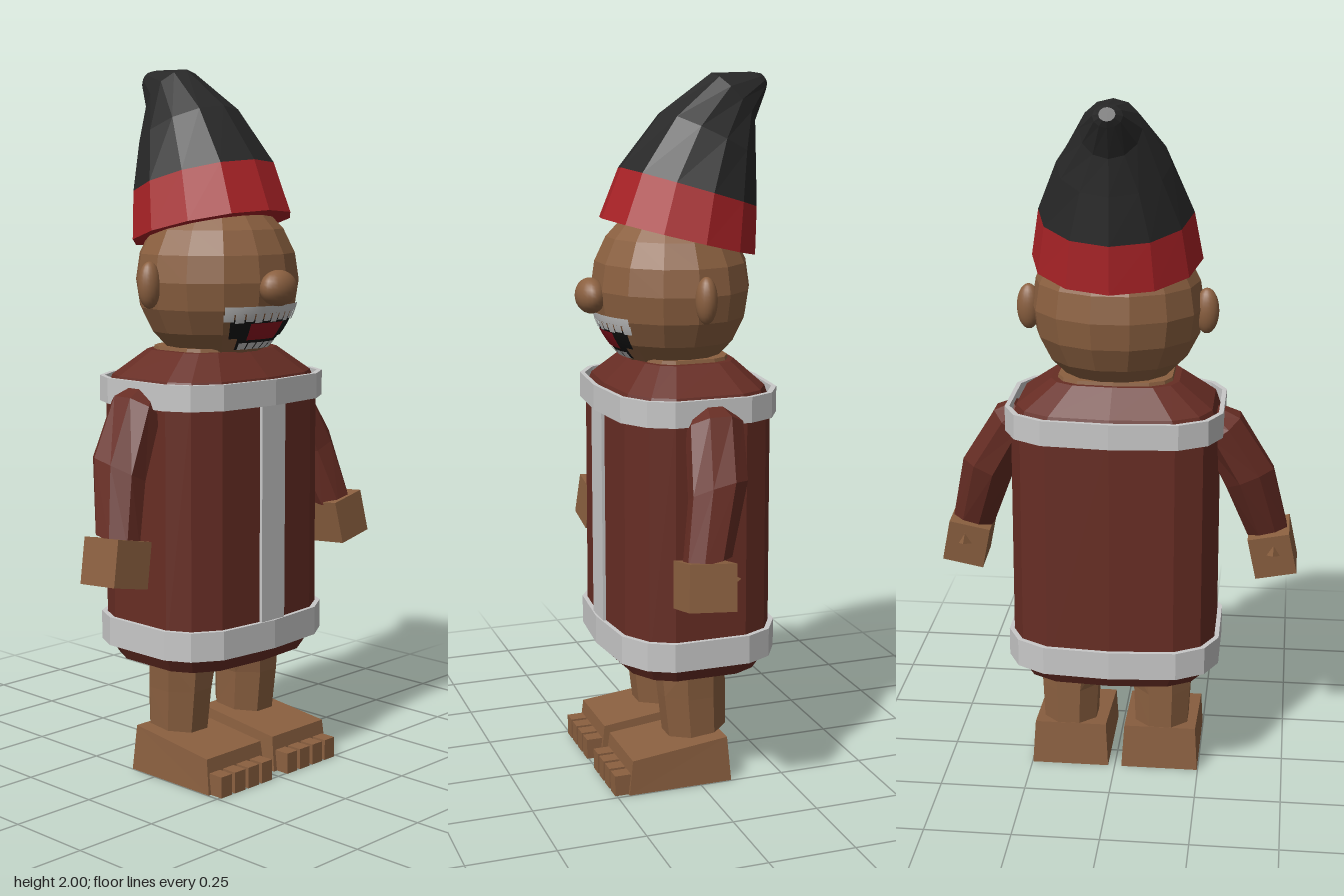
import * as THREE from 'three';

const mat = (name, color, side = THREE.FrontSide) => {
  const m = new THREE.MeshStandardMaterial({ color, side });
  m.name = name;
  return m;
};

export function createModel() {
  const skin = mat('skin', 0x8b6040);
  const robe = mat('robe brown', 0x672d24);
  const red = mat('band red', 0xa82226);
  const black = mat('hat black', 0x272727);
  const white = mat('trim white', 0xc8c8c8);
  const dark = mat('mouth black', 0x141414);
  const tongueRed = mat('tongue red', 0x8e1420);

  const model = new THREE.Group();
  model.name = 'figure';
  const add = (name, geo, material, parent = model, x = 0, y = 0, z = 0) => {
    const mesh = new THREE.Mesh(geo, material);
    mesh.name = name;
    mesh.position.set(x, y, z);
    parent.add(mesh);
    return mesh;
  };
  const flat = (geo) => {
    const g = geo.index ? geo.toNonIndexed() : geo;
    g.computeVertexNormals();
    return g;
  };
  const V = (x, y, z) => new THREE.Vector3(x, y, z);

  // Flat-shaded skin over closed rings, listed from bottom to top
  const loft = (rings, capped = true) => {
    const pos = [];
    const tri = (...pts) => pts.forEach((p) => pos.push(p.x, p.y, p.z));
    const n = rings[0].length;
    const mid = (r) => r.reduce((s, p) => s.add(p), V(0, 0, 0)).divideScalar(n);
    const lo = rings[0], hi = rings[rings.length - 1];
    for (let i = 0; i < n; i++) {
      const j = (i + 1) % n;
      for (let k = 0; k < rings.length - 1; k++) {
        const a = rings[k], b = rings[k + 1];
        tri(a[i], a[j], b[j]);
        tri(a[i], b[j], b[i]);
      }
      if (capped) {
        tri(mid(lo), lo[j], lo[i]);
        tri(mid(hi), hi[i], hi[j]);
      }
    }
    const g = new THREE.BufferGeometry();
    g.setAttribute('position', new THREE.Float32BufferAttribute(pos, 3));
    g.computeVertexNormals();
    return g;
  };
  // Elliptical ring, rolled about z and pitched about x
  const ring = (cx, cy, cz, rx, rz, n, roll = 0, pitch = 0) =>
    Array.from({ length: n }, (_, i) => {
      const a = ((i + 0.5) / n) * Math.PI * 2;
      return V(Math.sin(a) * rx, 0, Math.cos(a) * rz)
        .applyEuler(new THREE.Euler(pitch, 0, roll)).add(V(cx, cy, cz));
    });

  // Robe with a rounded-box section
  const half = [[0, 1], [0.62, 0.93], [0.88, 0.73], [1, 0.45], [1, -0.45], [0.88, -0.75], [0.62, -0.94], [0, -1]];
  const section = [...half, ...half.slice(1, -1).reverse().map(([x, z]) => [-x, z])];
  const slab = (y, hx, hz) => section.map(([x, z]) => V(x * hx, y, z * hz - 0.012));
  add('robe', loft([
    slab(0.33, 0.26, 0.2), slab(0.385, 0.292, 0.232), slab(1.1, 0.29, 0.23),
    slab(1.145, 0.275, 0.215), slab(1.215, 0.18, 0.14),
  ]), robe);
  add('neck', loft([slab(1.2, 0.165, 0.13), slab(1.225, 0.16, 0.125)]), skin);

  // White fur bands and front stripe
  [['hemTrim', 0.375, 0.457], ['collarTrim', 1.07, 1.142]].forEach(([name, y0, y1]) => {
    const inner = [0.293, 0.233], outer = [0.306, 0.246];
    add(name, loft([slab(y0, ...inner), slab(y0, ...outer), slab(y1, ...outer), slab(y1, ...inner), slab(y0, ...inner)], false), white);
  });
  add('frontStripe', new THREE.BoxGeometry(0.094, 0.63, 0.009), white, model, 0, 0.763, 0.222);

  // Head, ears and nose
  const R = 0.243, headY = 1.41;
  const head = new THREE.Group();
  head.name = 'head';
  head.position.set(0, headY, 0.005);
  model.add(head);
  add('skull', flat(new THREE.SphereGeometry(R, 14, 10)), skin, head).scale.z = 0.92;
  const ball = new THREE.SphereGeometry(1, 20, 14);
  add('nose', ball, skin, head, 0, -0.015, 0.235).scale.set(0.062, 0.05, 0.042);
  [-1, 1].forEach((s) => add(s > 0 ? 'leftEar' : 'rightEar', ball, skin, head, s * 0.25, -0.007, -0.015).scale.set(0.034, 0.065, 0.03));

  // Mouth: curved plates lying on the face
  const plate = (name, material, x0, x1, y0, y1, lift) => {
    const r = R + lift;
    const th = (y) => Math.acos((y - headY) / r);
    const t0 = th(y1), t1 = th(y0), rad = r * Math.sin((t0 + t1) / 2);
    const p0 = Math.acos(-x0 / rad), p1 = Math.acos(-x1 / rad);
    add(name, new THREE.SphereGeometry(r, 8, 3, p0, p1 - p0, t0, t1 - t0), material, head).scale.z = 0.92;
  };
  plate('mouth', dark, -0.115, 0.115, 1.255, 1.31, 0.002);
  plate('lowerMouth', dark, -0.075, 0.075, 1.222, 1.255, 0.002);
  plate('tongue', tongueRed, -0.06, 0.06, 1.25, 1.298, 0.004);
  plate('upperGum', white, -0.145, 0.145, 1.325, 1.346, 0.005);
  for (let i = 0; i < 10; i++) {
    const x = -0.145 + i * 0.029;
    plate('upperTooth', white, x + 0.002, x + 0.027, 1.304 - (i % 2) * 0.004, 1.325, 0.005);
  }
  for (let i = 0; i < 5; i++) {
    const x = -0.07 + i * 0.028;
    plate('lowerTooth', white, x + 0.002, x + 0.026, 1.222, 1.242, 0.005);
  }

  // Hat: tilted rings given by front point, back point and half width
  const hatRing = ([fz, fy, bz, by, w]) => Array.from({ length: 12 }, (_, i) => {
    const a = (i / 12) * Math.PI * 2, c = Math.cos(a) / 2;
    return V(Math.sin(a) * w, (fy + by) / 2 + c * (fy - by), (fz + bz) / 2 + c * (fz - bz));
  });
  const hat = [
    [0.205, 1.607, -0.233, 1.496, 0.238], [0.148, 1.745, -0.238, 1.629, 0.214],
    [0.03, 1.894, -0.238, 1.76, 0.155], [-0.116, 1.998, -0.24, 1.86, 0.083],
    [-0.235, 2.0, -0.274, 1.945, 0.04], [-0.262, 1.996, -0.28, 1.962, 0.022],
  ].map(hatRing);
  add('hatBand', loft(hat.slice(0, 2)), red);
  add('hatCone', loft(hat.slice(1)), black);

  // Arms, hands, legs and feet, mirrored
  [1, -1].forEach((s) => {
    const side = new THREE.Group();
    side.name = s > 0 ? 'leftLimbs' : 'rightLimbs';
    side.scale.x = s;
    model.add(side);

    add('sleeve', loft([
      ring(0.435, 0.73, 0.055, 0.063, 0.069, 8, 0.24, 0.15),
      ring(0.382, 0.91, 0.005, 0.078, 0.086, 8, 0.42, 0.2),
      ring(0.3, 1.065, -0.015, 0.068, 0.082, 8, 0.65),
      ring(0.27, 1.1, -0.015, 0.04, 0.05, 8, 0.8),
    ]), robe, side);
    const hand = add('hand', new THREE.BoxGeometry(0.122, 0.128, 0.135), skin, side, 0.452, 0.67, 0.067);
    hand.rotation.set(-0.08, 0, 0.2);
    const thumb = add('thumb', flat(new THREE.ConeGeometry(0.026, 0.04, 3)), skin, side, 0.455, 0.68, -0.015);
    thumb.rotation.x = -Math.PI / 2;

    add('leg', loft([
      ring(0.137, 0.136, -0.018, 0.084, 0.094, 8, 0, 0.1),
      ring(0.137, 0.25, -0.01, 0.09, 0.1, 8),
      ring(0.13, 0.345, -0.005, 0.106, 0.104, 8),
    ]), skin, side);
    add('foot', loft([
      [V(0.02, 0, 0.215), V(0.248, 0, 0.215), V(0.248, 0, -0.094), V(0.02, 0, -0.094)],
      [V(0.025, 0.1, 0.203), V(0.243, 0.1, 0.203), V(0.24, 0.132, -0.083), V(0.028, 0.132, -0.083)],
    ]), skin, side);
    for (let i = 0; i < 4; i++) {
      add('toe', new THREE.BoxGeometry(0.042, 0.06, 0.06), skin, side, 0.054 + i * 0.0545, 0.03, 0.225);
    }
  });

  return model;
}
